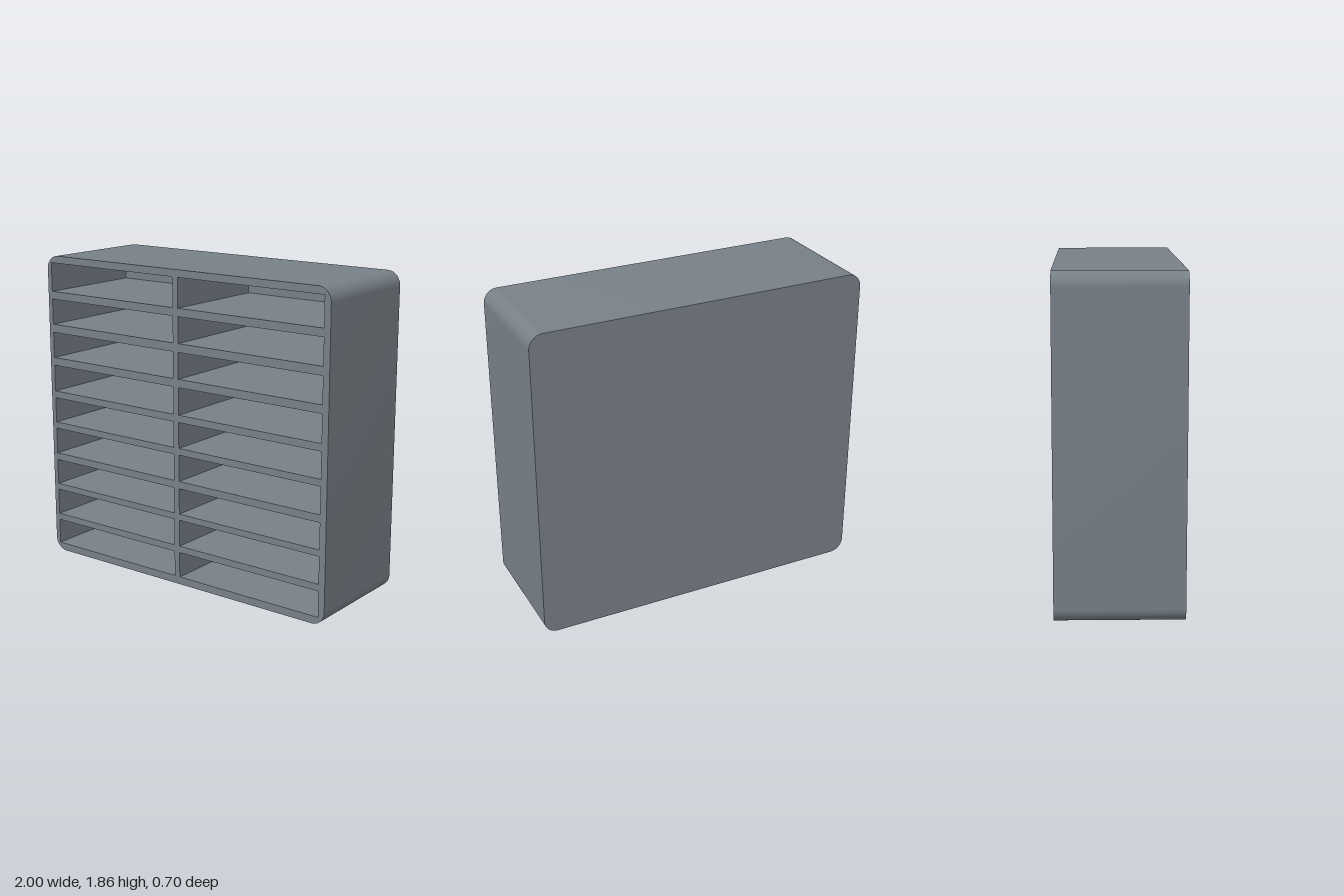
import * as THREE from 'three';
import { toCreasedNormals } from 'three/addons/utils/BufferGeometryUtils.js';

const WIDTH = 2, HEIGHT = 1.855, DEPTH = 0.7, RADIUS = 0.08, BACK = 0.03;

// Compartment columns [left, right] and rows [bottom, top]
const COLUMNS = [[-0.97, -0.04], [-0.003, 0.96]];
const ROWS = [
  [0.045, 0.197], [0.237, 0.396], [0.434, 0.588], [0.632, 0.79], [0.83, 0.983],
  [1.026, 1.187], [1.235, 1.39], [1.44, 1.593], [1.64, 1.812],
];

// Rounded outline of the cabinet, standing on y = 0
function outline() {
  const x = WIDTH / 2 - RADIUS, top = HEIGHT - RADIUS, q = Math.PI / 2;
  const shape = new THREE.Shape();
  shape.absarc(x, RADIUS, RADIUS, -q, 0);
  shape.absarc(x, top, RADIUS, 0, q);
  shape.absarc(-x, top, RADIUS, q, 2 * q);
  shape.absarc(-x, RADIUS, RADIUS, 2 * q, 3 * q);
  shape.closePath();
  return shape;
}

function rectHole(x0, x1, y0, y1) {
  const hole = new THREE.Path();
  hole.moveTo(x0, y0).lineTo(x0, y1).lineTo(x1, y1).lineTo(x1, y0).closePath();
  return hole;
}

// Extrude a shape from z and keep only the rounded corners smooth
function slab(name, shape, z, depth, material) {
  const geometry = new THREE.ExtrudeGeometry(shape, { depth, bevelEnabled: false, curveSegments: 12 });
  const mesh = new THREE.Mesh(toCreasedNormals(geometry, 0.5), material);
  mesh.name = name;
  mesh.position.z = z;
  return mesh;
}

export function createModel() {
  const group = new THREE.Group();
  group.name = 'compartmentCabinet';
  const material = new THREE.MeshStandardMaterial({ color: 0x788088 });

  // Body with two columns of nine open compartments
  const body = outline();
  for (const [x0, x1] of COLUMNS)
    for (const [y0, y1] of ROWS) body.holes.push(rectHole(x0, x1, y0, y1));
  group.add(slab('compartmentBody', body, -DEPTH / 2 + BACK, DEPTH - BACK, material));

  // Closed back
  group.add(slab('backPanel', outline(), -DEPTH / 2, BACK, material));
  return group;
}
